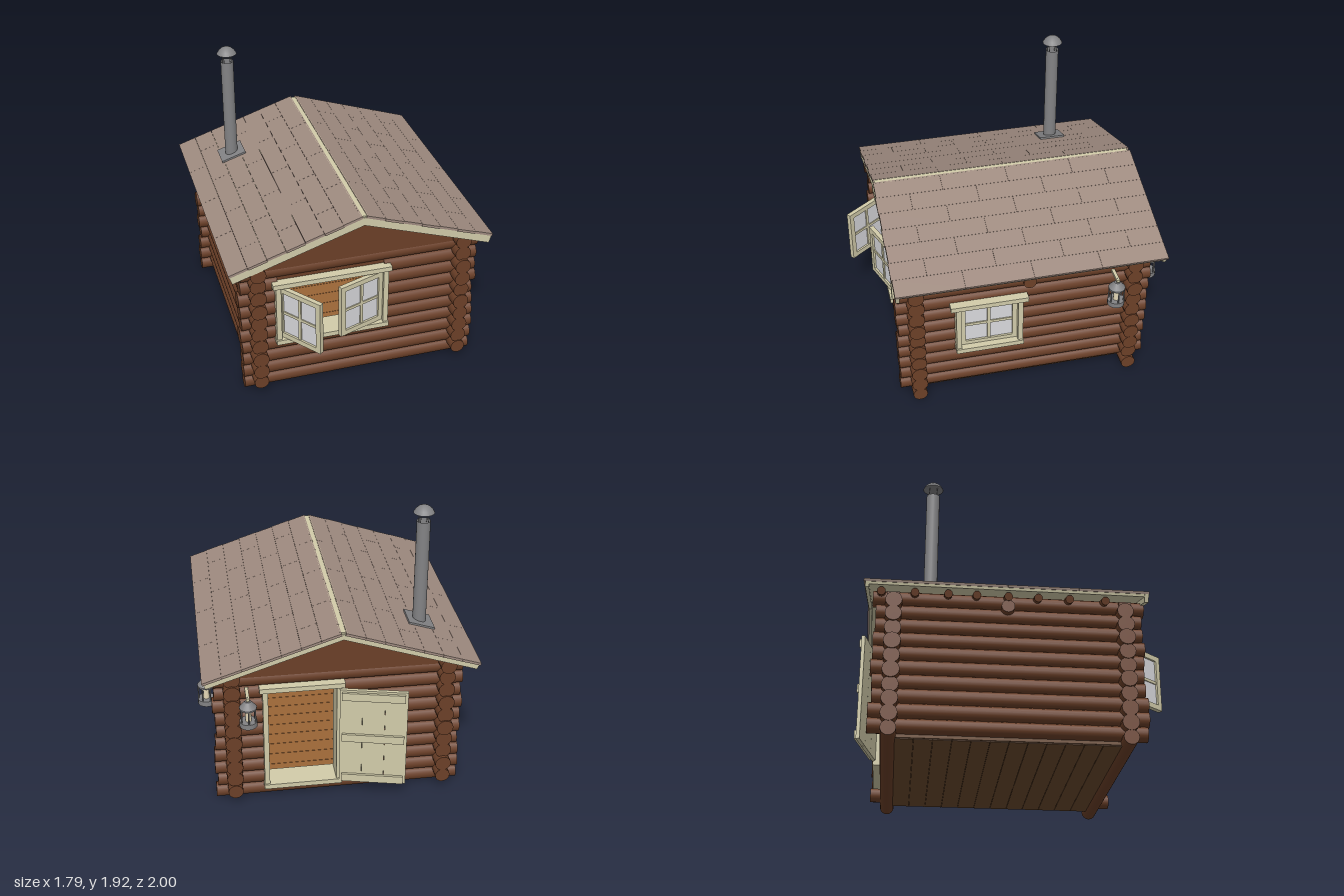
import * as THREE from 'three';

const mat = (name, color, side = THREE.FrontSide) => {
  const m = new THREE.MeshStandardMaterial({ color, side });
  m.name = name;
  return m;
};
const M = {
  log: mat('log brown', 0x6c4028),
  cream: mat('cream paint', 0xd2ccaa),
  roof: mat('roof board', 0x9f8b80),
  glass: mat('glass', 0xdadade, THREE.DoubleSide),
  metal: mat('metal', 0x838385, THREE.DoubleSide),
  floor: mat('floor board', 0x9a6536),
  under: mat('underfloor', 0x6c4a2e),
  candle: mat('candle', 0xe6d9b8),
};

let seed = 7;
const rnd = () => (seed = (seed * 16807) % 2147483647) / 2147483647 - 0.5;

function add(parent, name, geo, material, x = 0, y = 0, z = 0) {
  const m = new THREE.Mesh(geo, material);
  m.name = name;
  m.position.set(x, y, z);
  parent.add(m);
  return m;
}
// box given by its extents
const slab = (p, name, material, x0, x1, y0, y1, z0, z1) =>
  add(p, name, new THREE.BoxGeometry(x1 - x0, y1 - y0, z1 - z0), material, (x0 + x1) / 2, (y0 + y1) / 2, (z0 + z1) / 2);
const rod = (p, name, material, r, h, x, y, z, n = 12) =>
  add(p, name, new THREE.CylinderGeometry(r, r, h, n), material, x, y, z);
function group(parent, name, x = 0, y = 0, z = 0) {
  const g = new THREE.Group();
  g.name = name;
  g.position.set(x, y, z);
  parent.add(g);
  return g;
}

// log lying along x or z, from a to b, at offset c on the other axis
function log(p, axis, a, b, y, c, r) {
  const m = rod(p, 'log', M.log, r, b - a, 0, y, 0, 16);
  if (axis === 'x') { m.rotation.z = Math.PI / 2; m.position.set((a + b) / 2, y, c); }
  else { m.rotation.x = Math.PI / 2; m.position.set(c, y, (a + b) / 2); }
}

// stacked log wall; hole = [from, to, bottom, top]
function logWall(root, name, axis, c, a, b, y0, hole) {
  const g = group(root, name);
  for (let i = 0; i < 10; i++) {
    const y = y0 + i * 0.095, r = (i ? 0.052 : 0.049) + Math.abs(rnd()) * 0.006 * (i ? 1 : 0);
    const s = a + rnd() * 0.025, e = b + rnd() * 0.025;
    if (hole && y > hole[2] && y < hole[3]) {
      log(g, axis, s, hole[0], y, c, r);
      log(g, axis, hole[1], e, y, c, r);
    } else log(g, axis, s, e, y, c, r);
  }
}

// four-pane sash hinged on its local origin, reaching along local +x
function sash(parent, name, x, z, angle, w, y0, y1) {
  const g = group(parent, name, x, 0, z), t = 0.016, b = 0.036;
  g.rotation.y = angle;
  slab(g, 'sashStile', M.cream, 0, b, y0, y1, -t, t);
  slab(g, 'sashStile', M.cream, w - b, w, y0, y1, -t, t);
  slab(g, 'sashRail', M.cream, b, w - b, y0, y0 + b, -t, t);
  slab(g, 'sashRail', M.cream, b, w - b, y1 - b, y1, -t, t);
  slab(g, 'glazingBar', M.cream, w / 2 - 0.01, w / 2 + 0.01, y0 + b, y1 - b, -0.01, 0.01);
  const ym = (y0 + y1) / 2;
  slab(g, 'glazingBar', M.cream, b, w - b, ym - 0.01, ym + 0.01, -0.009, 0.009);
  slab(g, 'glass', M.glass, b, w - b, y0 + b, y1 - b, -0.002, 0.002);
}

// lining and trim around an opening, outward along local +z up to f
function frame(parent, name, x0, x1, y0, y1, depth, overhang, f = 0.085) {
  const g = group(parent, name), t = 0.034;
  slab(g, 'jamb', M.cream, x0, x0 + t, y0, y1, f - depth, f);
  slab(g, 'jamb', M.cream, x1 - t, x1, y0, y1, f - depth, f);
  slab(g, 'head', M.cream, x0 - overhang, x1 + overhang, y1 - t, y1, f - depth, f + 0.008);
  slab(g, 'sill', M.cream, x0 - 0.004, x1 + 0.004, y0, y0 + t, f - depth, f + 0.012);
  return g;
}

function lantern(root, x, z, turn) {
  const g = group(root, 'lantern', x, 0, z);
  g.rotation.y = turn;
  rod(g, 'lanternBase', M.metal, 0.057, 0.036, 0, 0.67, 0, 16);
  for (let i = 0; i < 6; i++) {
    const a = (i * Math.PI) / 3;
    rod(g, 'lanternPost', M.metal, 0.005, 0.11, 0.05 * Math.cos(a), 0.735, 0.05 * Math.sin(a), 6);
  }
  rod(g, 'lanternRim', M.metal, 0.055, 0.012, 0, 0.785, 0, 16);
  add(g, 'lanternLid', new THREE.CylinderGeometry(0.02, 0.056, 0.042, 16), M.metal, 0, 0.811, 0);
  add(g, 'lanternRing', new THREE.TorusGeometry(0.014, 0.003, 6, 14), M.metal, 0, 0.847, 0);
  rod(g, 'candle', M.candle, 0.019, 0.07, 0, 0.72, 0);
  add(g, 'flame', new THREE.ConeGeometry(0.01, 0.03, 8), M.candle, 0, 0.77, 0);
  slab(g, 'bracket', M.cream, -0.12, 0.02, 0.842, 0.862, -0.011, 0.011);
}

export function createModel() {
  const root = new THREE.Group();
  root.name = 'logCabin';

  // log walls crossing at the corners
  logWall(root, 'frontWall', 'x', 0.69, -0.81, 0.8, 0.05, [-0.56, 0.16, 0.4, 0.82]);
  logWall(root, 'backWall', 'x', -0.78, -0.81, 0.8, 0.05, [-0.01, 0.48, 0.1, 0.85]);
  logWall(root, 'leftWall', 'z', 0.685, -0.9, 0.81, 0.1, [0.0, 0.41, 0.42, 0.74]);
  logWall(root, 'rightWall', 'z', -0.7, -0.9, 0.81, 0.1);
  log(root, 'x', -0.8, 0.8, 0.9, -0.06, 0.043);

  // gables
  const tri = new THREE.Shape([[-0.77, 0.92], [0.75, 0.92], [0.75, 0.98], [-0.01, 1.235], [-0.77, 0.98]]
    .map(([x, y]) => new THREE.Vector2(x, y)));
  for (const z of [0.655, -0.825])
    add(root, 'gable', new THREE.ExtrudeGeometry(tri, { depth: 0.08, bevelEnabled: false }), M.log, 0, 0, z);

  // floor
  slab(root, 'subfloor', M.under, -0.7, 0.69, 0.03, 0.085, -0.78, 0.69);
  for (let i = 0; i < 12; i++) {
    const z = -0.74 + i * 0.116;
    slab(root, 'floorBoard', M.floor, -0.66, 0.65, 0.08, 0.1, z, z + 0.113);
    slab(root, 'underBoard', M.under, -0.69, 0.68, 0.025, 0.032, z, z + 0.114);
  }

  // front window with two open sashes
  frame(root, 'frontWindowFrame', -0.58, 0.18, 0.365, 0.838, 0.16, 0.02).position.z = 0.69;
  slab(root, 'headPacking', M.log, -0.56, 0.16, 0.83, 0.88, 0.66, 0.72);
  sash(root, 'openSash', -0.545, 0.72, -0.92, 0.34, 0.405, 0.79);
  sash(root, 'ajarSash', 0.145, 0.735, -2.8, 0.34, 0.405, 0.79);

  // side window, closed and set back in a deep frame
  const side = frame(root, 'sideWindowFrame', -0.43, 0.02, 0.375, 0.773, 0.17, 0.035, 0.1);
  side.position.x = 0.69;
  side.rotation.y = Math.PI / 2;
  sash(side, 'closedSash', -0.4, 0.05, 0, 0.39, 0.4, 0.745);

  // doorway and open door
  const doorway = frame(root, 'doorFrame', -0.49, 0.02, 0.085, 0.865, 0.16, 0.02);
  doorway.position.z = -0.78;
  doorway.rotation.y = Math.PI;
  const door = group(root, 'door', -0.005, 0, -0.87);
  door.rotation.y = Math.PI - 0.23;
  for (let i = 0; i < 3; i++)
    slab(door, 'doorPlank', M.cream, i * 0.146, i * 0.146 + 0.145, 0.115, 0.825, -0.012, 0.012);
  for (const y of [0.148, 0.465, 0.782])
    slab(door, 'doorBatten', M.cream, 0.015, 0.42, y - 0.028, y + 0.028, 0.012, 0.028);

  // roof slopes, built along the local x axis from the ridge
  const tilt = Math.atan(0.33);
  for (const s of [1, -1]) {
    const g = group(root, s > 0 ? 'leftRoofSlope' : 'rightRoofSlope', -0.01, 1.287, 0);
    g.rotation.z = -s * tilt;
    const span = (name, m, u0, u1, v0, v1, z0, z1) =>
      slab(g, name, m, Math.min(s * u0, s * u1), Math.max(s * u0, s * u1), v0, v1, z0, z1);
    span('sheathing', M.cream, 0.0, 0.92, -0.03, -0.013, -0.95, 0.815);
    span('frontBargeboard', M.cream, -0.012, 0.925, -0.066, -0.013, 0.8, 0.826);
    span('backBargeboard', M.cream, -0.012, 0.92, -0.048, -0.013, -0.96, -0.937);
    // roof boards in flush rows with staggered joints
    for (let i = 0; i < 7; i++) {
      let z = -0.97;
      let end = i % 2 ? -0.745 : -0.52;
      while (z < 0.825) {
        const stop = Math.min(end, 0.835);
        span('roofBoard', M.roof, 0.015 + i * 0.1305, 0.1445 + i * 0.1305, -0.013, 0.004, z, stop - 0.001);
        z = stop;
        end += 0.45;
      }
    }
    for (const z of [0.56, 0.33, 0.13, -0.06, -0.26, -0.44, -0.65, -0.86]) {
      const r = rod(g, 'rafter', M.log, 0.027, 0.85, s * 0.445, -0.06, z);
      r.rotation.z = Math.PI / 2;
    }
  }
  slab(root, 'ridgeBoard', M.cream, -0.033, 0.013, 1.262, 1.284, -0.95, 0.82);

  // stove pipe
  const pipe = group(root, 'stovePipe', -0.575, 0, -0.55);
  add(pipe, 'flashing', new THREE.BoxGeometry(0.18, 0.012, 0.18), M.metal, 0, 1.112, 0).rotation.z = tilt;
  add(pipe, 'pipe', new THREE.CylinderGeometry(0.044, 0.044, 0.8, 20, 1, true), M.metal, 0, 1.42, 0);
  rod(pipe, 'pipeDamper', M.metal, 0.043, 0.01, 0, 1.77, 0, 20);
  for (let i = 0; i < 4; i++) {
    const a = Math.PI / 4 + (i * Math.PI) / 2;
    rod(pipe, 'capStay', M.metal, 0.003, 0.09, 0.036 * Math.cos(a), 1.84, 0.036 * Math.sin(a), 6);
  }
  const cap = [[0.068, 0], [0.055, 0.022], [0.035, 0.04], [0.015, 0.049], [0, 0.051]].map(([x, y]) => new THREE.Vector2(x, y));
  add(pipe, 'rainCap', new THREE.LatheGeometry(cap, 20), M.metal, 0, 1.875, 0);
  const lid = add(pipe, 'capUnderside', new THREE.CircleGeometry(0.067, 20), M.metal, 0, 1.876, 0);
  lid.rotation.x = Math.PI / 2;

  // lanterns beside the back corner
  lantern(root, 0.838, -0.64, 0);
  lantern(root, 0.59, -0.942, Math.PI / 2);
  return root;
}
